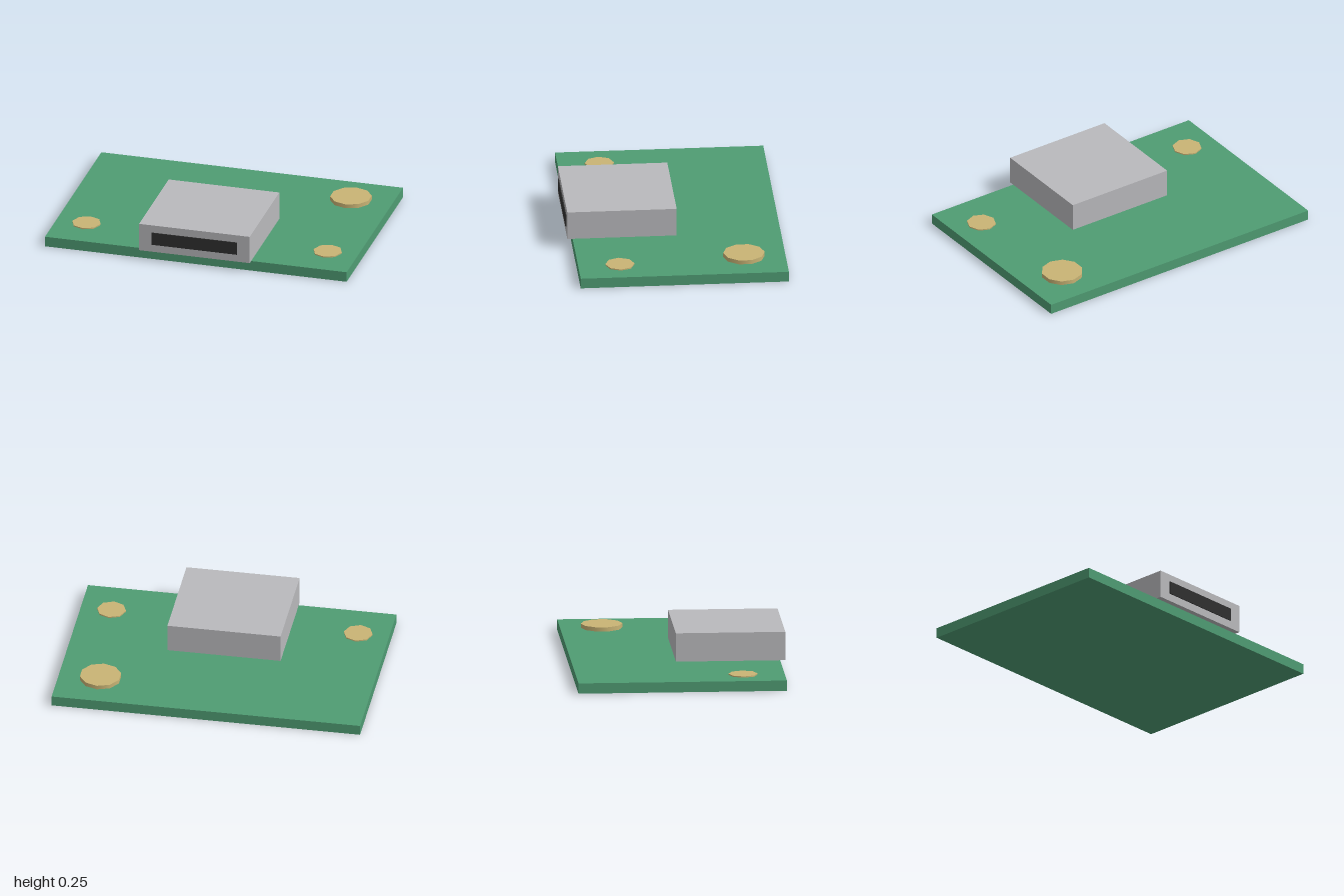
import * as THREE from 'three';

const mat = (name, color) => {
  const m = new THREE.MeshStandardMaterial({ color });
  m.name = name;
  return m;
};

export function createModel() {
  const green = mat('board green', 0x4f9c73);
  const grey = mat('metal grey', 0xb9b9bc);
  const black = mat('slot black', 0x303030);
  const gold = mat('contact gold', 0xc9b475);

  const model = new THREE.Group();
  model.name = 'circuitBoard';

  const add = (name, geometry, material, x, y, z) => {
    const mesh = new THREE.Mesh(geometry, material);
    mesh.name = name;
    mesh.position.set(x, y, z);
    model.add(mesh);
  };

  // Box given by its min and max corners
  const box = (name, material, [x0, y0, z0], [x1, y1, z1]) =>
    add(name, new THREE.BoxGeometry(x1 - x0, y1 - y0, z1 - z0), material,
      (x0 + x1) / 2, (y0 + y1) / 2, (z0 + z1) / 2);

  // Low-sided round contact resting on the board
  const boardTop = 0.067;
  const pad = (name, radius, height, sides, x, z) =>
    add(name, new THREE.CylinderGeometry(radius, radius, height, sides), gold,
      x, boardTop + height / 2, z);

  // Board
  box('board', green, [-1, 0, -0.687], [1, boardTop, 0.647]);

  // Connector housing overhanging the front edge, with its dark opening
  box('connectorHousing', grey, [-0.367, boardTop, -0.02], [0.367, 0.252, 0.681]);
  box('connectorSlot', black, [-0.283, 0.118, 0.679], [0.283, 0.202, 0.687]);

  // Small contacts either side and the large one at the back
  for (const side of [-1, 1]) {
    pad(side < 0 ? 'rightPad' : 'leftPad', 0.0935, 0.008, 8, side * 0.8, 0.38);
  }
  pad('largePad', 0.133, 0.027, 10, 0.73, -0.421);

  return model;
}
